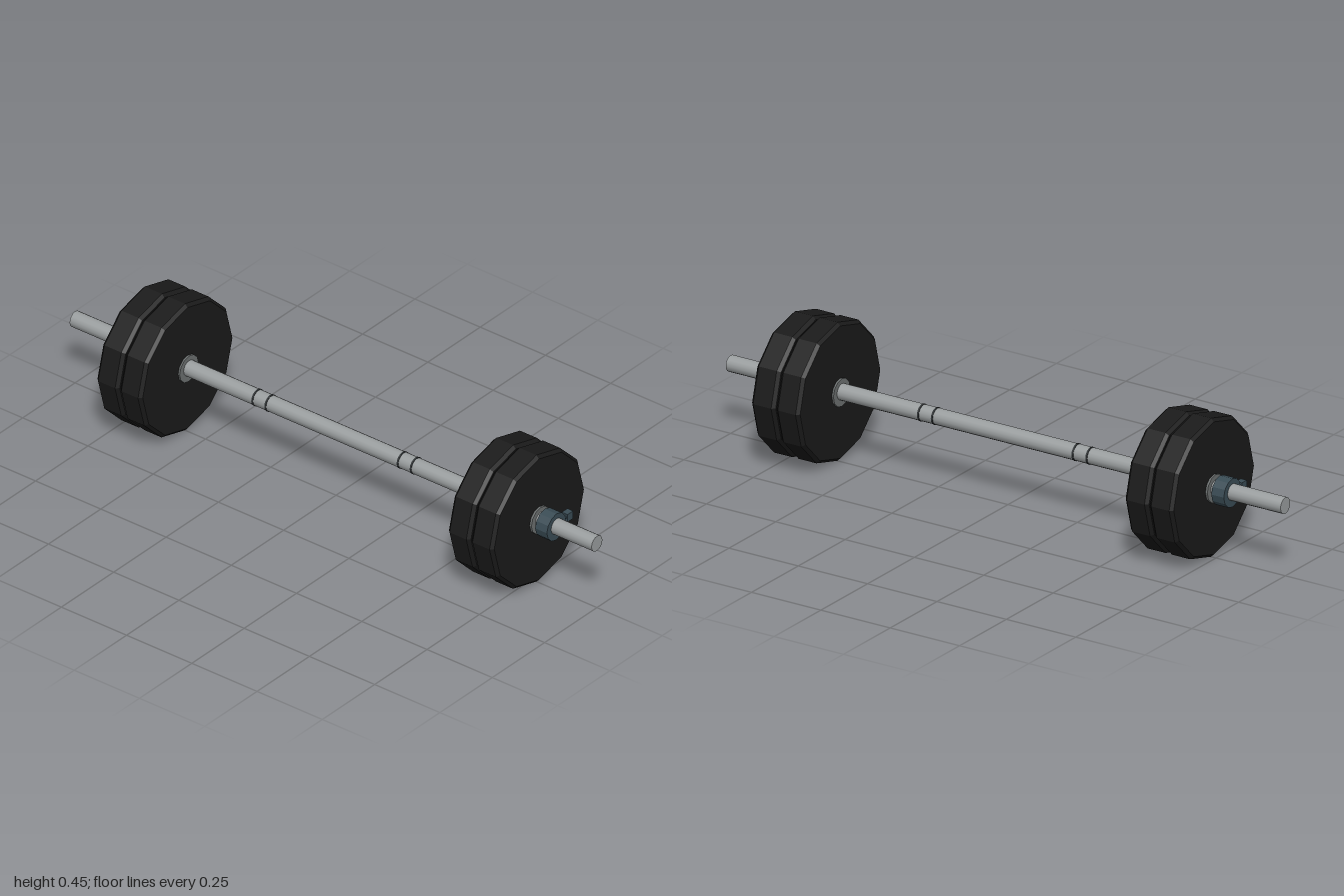
import * as THREE from 'three';

const AXIS_Y = 0.226;
const material = (color, flatShading = true) =>
  new THREE.MeshStandardMaterial({ color, flatShading });
const rubber = material(0x1a1a1a);
const steel = material(0x9a9e9f, false);
const dark = material(0x303436);
const hubSteel = material(0x6c7070);
const collarPaint = material(0x3a4c55);

// Turned part along the z axis from [radius, z] pairs, with z increasing
function turned(name, profile, sides, mat) {
  const points = profile.map(([r, z]) => new THREE.Vector2(r, z));
  const geometry = new THREE.LatheGeometry(points, sides).rotateX(Math.PI / 2);
  const mesh = new THREE.Mesh(geometry, mat);
  mesh.name = name;
  return mesh;
}

// Solid disc between two z positions
const disc = (name, r, z0, z1, sides, mat) =>
  turned(name, [[0, z0], [r, z0], [r, z1], [0, z1]], sides, mat);

// Twelve-sided plate with bevelled rims
function plate(name, z0, z1) {
  const R = 0.224, face = 0.214, bevel = 0.01;
  return turned(name, [
    [0, z0], [face, z0], [R, z0 + bevel],
    [R, z1 - bevel], [face, z1], [0, z1],
  ], 12, rubber);
}

// Clamp ring with its sideways thumb screw
function collar() {
  const group = new THREE.Group();
  group.name = 'collar';
  group.add(disc('clampRing', 0.046, 0.8, 0.845, 12, collarPaint));

  const screw = new THREE.Mesh(new THREE.CylinderGeometry(0.008, 0.008, 0.034, 8), collarPaint);
  screw.name = 'screwShaft';
  screw.rotation.z = Math.PI / 2;
  screw.position.set(0.056, -0.004, 0.825);

  const knob = new THREE.Mesh(new THREE.BoxGeometry(0.027, 0.027, 0.022), collarPaint);
  knob.name = 'screwKnob';
  knob.position.set(0.077, -0.005, 0.825);
  group.add(screw, knob);
  return group;
}

// Pair of plates, hub and collar for one end
function weightStack(name) {
  const group = new THREE.Group();
  group.name = name;
  group.add(
    plate('innerPlate', 0.605, 0.689),
    plate('outerPlate', 0.693, 0.778),
    disc('hub', 0.045, 0.599, 0.785, 12, hubSteel),
    collar(),
  );
  return group;
}

export function createModel() {
  const model = new THREE.Group();
  model.name = 'barbell';

  // Bar
  const bar = new THREE.Mesh(new THREE.CylinderGeometry(0.026, 0.026, 2, 16), steel);
  bar.name = 'bar';
  bar.rotation.x = Math.PI / 2;
  bar.position.y = AXIS_Y + 0.003;
  model.add(bar);

  // Grip marker rings
  for (const z of [-0.3, -0.25, 0.257, 0.307]) {
    const ring = disc('gripRing', 0.0275, z - 0.003, z + 0.003, 16, dark);
    ring.position.y = AXIS_Y + 0.003;
    model.add(ring);
  }

  // Weights at both ends, the rear set turned half round
  const front = weightStack('frontWeights');
  front.position.y = AXIS_Y;
  const back = weightStack('backWeights');
  back.rotation.y = Math.PI;
  back.position.set(0, AXIS_Y, 0.036);
  model.add(front, back);
  return model;
}
